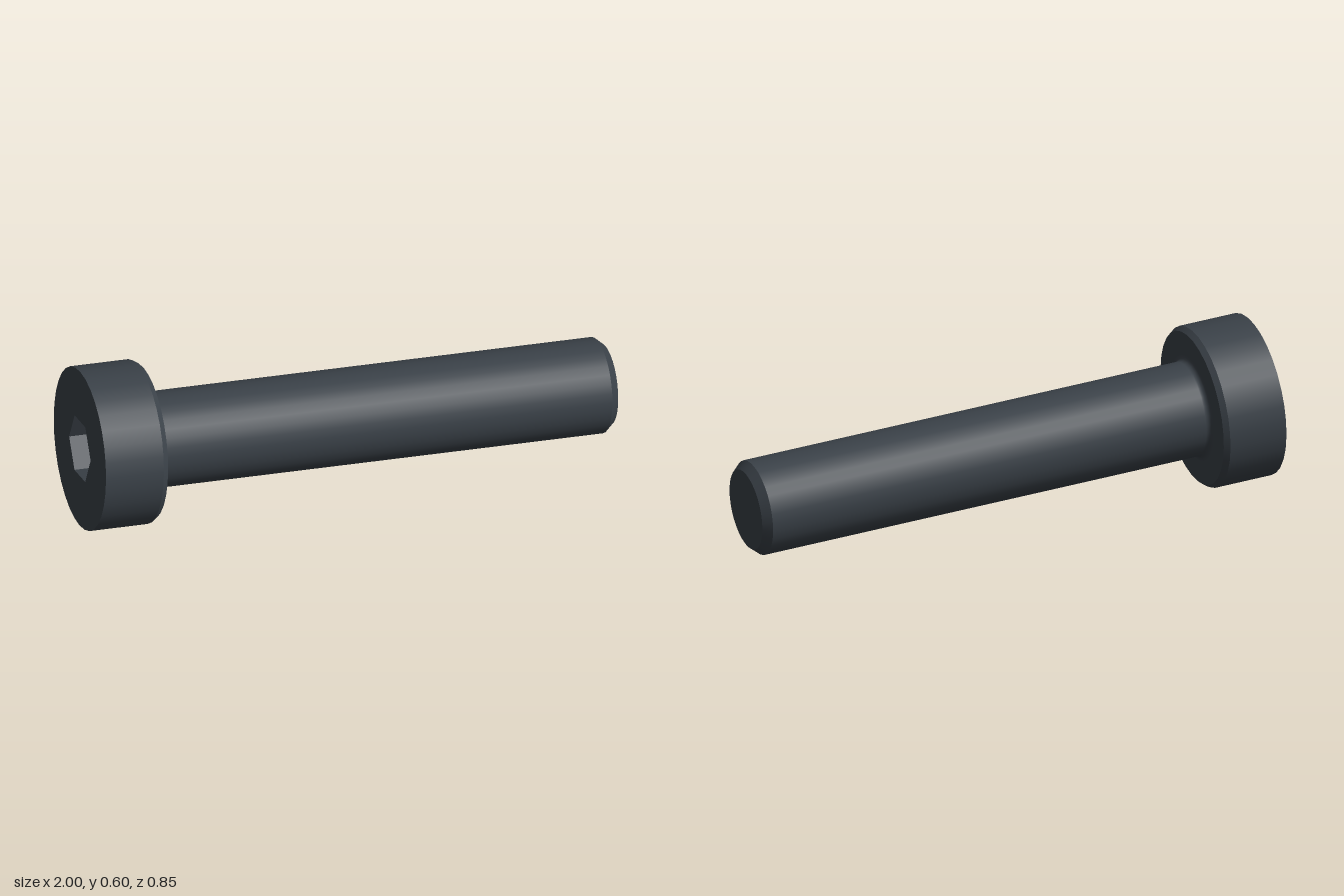
import * as THREE from 'three';

const SIDES = 32;
const HEAD_R = 0.2925, SHAFT_R = 0.171, HEX_R = 0.12;
const TOP = -1.95, UNDER = -1.715; // head top and underside, measured along the axis from the tip
const SOCKET_DEPTH = 0.11;
const HEX_PHI = THREE.MathUtils.degToRad(108);

export function createModel() {
  const model = new THREE.Group();
  model.name = 'capScrew';
  const steel = new THREE.MeshStandardMaterial({ color: 0x3a4148 });
  steel.name = 'blackenedSteel';

  const add = (parent, name, geometry) => {
    const mesh = new THREE.Mesh(geometry, steel);
    mesh.name = name;
    parent.add(mesh);
  };
  // Each smooth band is its own lathe, so the edges between bands stay sharp
  const band = (parent, name, profile) =>
    add(parent, name, new THREE.LatheGeometry(profile.map(([r, y]) => new THREE.Vector2(r, y)), SIDES));
  const ring = (r, n, start = 0) => Array.from({ length: n }, (_, i) => {
    const a = start + (i / n) * Math.PI * 2;
    return new THREE.Vector2(r * Math.sin(a), r * Math.cos(a));
  });

  // Head: side wall, bevelled lower rim and underside
  const head = new THREE.Group();
  head.name = 'head';
  model.add(head);
  band(head, 'headSide', [[HEAD_R, TOP], [HEAD_R, UNDER - 0.02]]);
  band(head, 'headBevel', [[HEAD_R, UNDER - 0.02], [0.279, UNDER]]);
  band(head, 'headUnderside', [[0.279, UNDER], [SHAFT_R + 0.02, UNDER]]);

  // Head face with a six-sided opening
  const face = new THREE.Shape(ring(HEAD_R, SIDES));
  face.holes.push(new THREE.Path(ring(HEX_R, 6, HEX_PHI)));
  add(head, 'headFace', new THREE.ShapeGeometry(face).rotateX(Math.PI / 2).translate(0, TOP, 0));

  // Hex socket: floor and inward-facing walls
  const socket = new THREE.LatheGeometry([
    new THREE.Vector2(0, TOP + SOCKET_DEPTH),
    new THREE.Vector2(HEX_R, TOP + SOCKET_DEPTH),
    new THREE.Vector2(HEX_R, TOP),
  ], 6, HEX_PHI).toNonIndexed();
  socket.computeVertexNormals();
  add(head, 'hexSocket', socket);

  // Shaft: fillet under the head, long barrel, chamfered tip
  const shaft = new THREE.Group();
  shaft.name = 'shaft';
  model.add(shaft);
  const fillet = Array.from({ length: 6 }, (_, i) => {
    const a = (i / 5) * Math.PI / 2;
    return [SHAFT_R + 0.02 * (1 - Math.sin(a)), UNDER + 0.02 * (1 - Math.cos(a))];
  });
  band(shaft, 'barrel', [...fillet, [SHAFT_R, -0.03]]);
  band(shaft, 'tipChamfer', [[SHAFT_R, -0.03], [0.145, 0]]);
  band(shaft, 'tipFace', [[0.145, 0], [0, 0]]);

  // Lay the screw along its tilted axis
  const axis = new THREE.Vector3(0.9755, -0.071, 0.208).normalize();
  const side = new THREE.Vector3(0, 1, 0).cross(axis).normalize();
  const up = axis.clone().cross(side);
  model.quaternion.setFromRotationMatrix(new THREE.Matrix4().makeBasis(up, axis, side));
  model.position.set(0.968, 0.169, 0.2635);

  const root = new THREE.Group();
  root.name = 'screw';
  root.add(model);
  return root;
}
